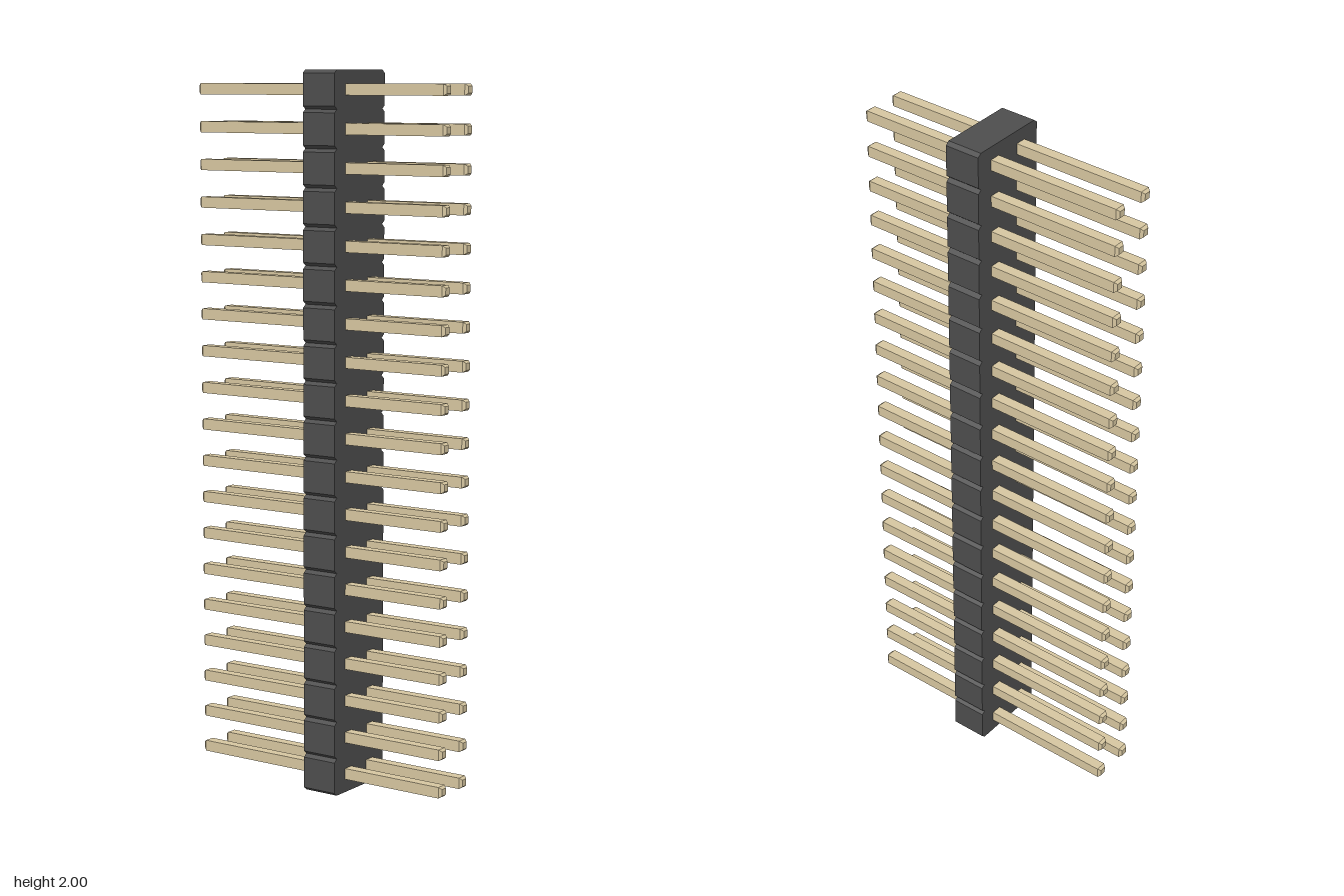
import * as THREE from 'three';

const ROWS = 19;
const PITCH = 2 / ROWS;

// Housing outline: stacked cells with chamfered side corners
function housingGeometry() {
  const w = 0.12, cx = 0.011, cy = 0.009;
  const right = [];
  for (let i = 0; i < ROWS; i++) {
    const y0 = i * PITCH, y1 = y0 + PITCH;
    right.push([w - cx, y0], [w, y0 + cy], [w, y1 - cy]);
  }
  right.push([w - cx, 2]);
  const left = right.map(([x, y]) => [-x, y]).reverse();
  const shape = new THREE.Shape([...right, ...left].map(([x, y]) => new THREE.Vector2(x, y)));
  const geo = new THREE.ExtrudeGeometry(shape, { depth: 0.104, bevelEnabled: false });
  return geo.translate(0, 0, -0.012);
}

// Square pin along z with chamfered tips
function pinGeometry() {
  const half = 0.0155, bevel = 0.006, tip = 0.008, reach = 0.409;
  const s = half - bevel;
  const shape = new THREE.Shape([[-s, -s], [s, -s], [s, s], [-s, s]].map(([x, y]) => new THREE.Vector2(x, y)));
  const depth = 2 * (reach - tip);
  const geo = new THREE.ExtrudeGeometry(shape, {
    depth, bevelEnabled: true, bevelThickness: tip, bevelSize: bevel, bevelSegments: 1,
  });
  return geo.translate(0, 0, -depth / 2);
}

export function createModel() {
  const model = new THREE.Group();
  model.name = 'pinHeader';

  const plastic = new THREE.MeshStandardMaterial({ color: 0x4d4d4d });
  const metal = new THREE.MeshStandardMaterial({ color: 0xd6c6a0 });

  const housing = new THREE.Mesh(housingGeometry(), plastic);
  housing.name = 'housing';
  model.add(housing);

  // Two columns of pins, one pair per cell
  const pins = new THREE.Group();
  pins.name = 'pins';
  const geo = pinGeometry();
  for (let i = 0; i < ROWS; i++) {
    for (const side of [-1, 1]) {
      const pin = new THREE.Mesh(geo, metal);
      pin.name = `${side > 0 ? 'left' : 'right'}Pin${i + 1}`;
      pin.position.set(side * PITCH / 2, (i + 0.5) * PITCH, 0);
      pins.add(pin);
    }
  }
  model.add(pins);
  return model;
}
